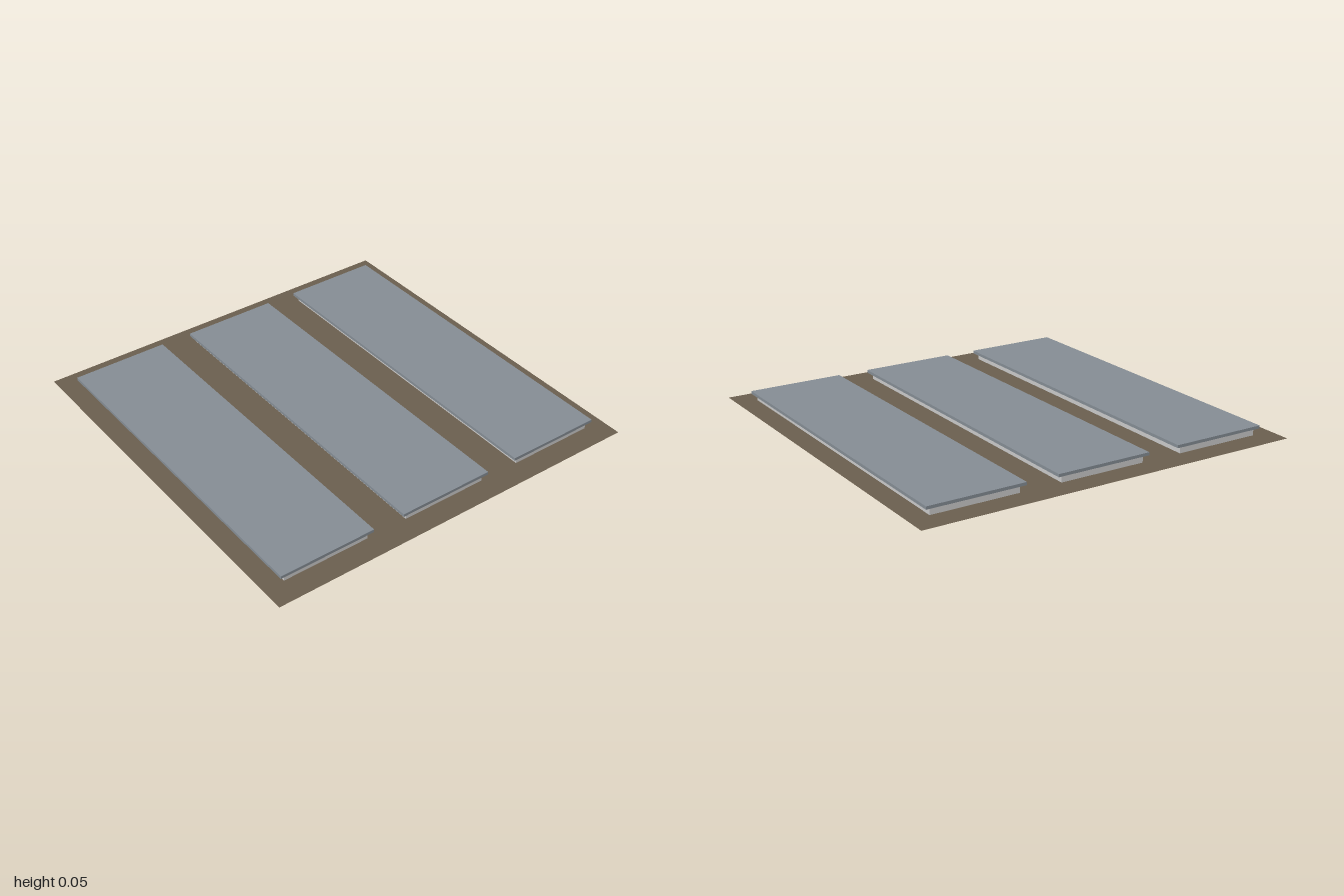
import * as THREE from 'three';

const mat = (name, color) => {
  const m = new THREE.MeshStandardMaterial({ color });
  m.name = name;
  return m;
};

export function createModel() {
  const soil = mat('soil brown', 0x6c604f);
  soil.side = THREE.DoubleSide;
  const wall = mat('wall grey', 0xcccccc);
  const roof = mat('roof slate', 0x868e96);

  const W = 0.45, D = 1.76, H = 0.035; // hall footprint and wall height
  const roofW = 0.5, roofD = 1.79, roofH = 0.015;
  const centres = [-0.667, 0, 0.667];

  const rect = (C, cx, w, d) => {
    const [x, y] = [w / 2, d / 2];
    return new C([[-x, -y], [x, -y], [x, y], [-x, y]].map(([a, b]) => new THREE.Vector2(cx + a, b)));
  };

  const model = new THREE.Group();
  model.name = 'threeHalls';

  const add = (parent, name, geometry, material, x, y) => {
    const mesh = new THREE.Mesh(geometry, material);
    mesh.name = name;
    mesh.position.set(x, y, 0);
    parent.add(mesh);
  };

  // Flat ground sheet, open beneath each hall so the floors show
  const sheet = rect(THREE.Shape, 0, 2, 2);
  for (const x of centres) sheet.holes.push(rect(THREE.Path, x, W, D));
  add(model, 'ground', new THREE.ShapeGeometry(sheet).rotateX(-Math.PI / 2), soil, 0, 0);

  // Three long low halls with overhanging flat roofs
  for (const x of centres) {
    const hall = new THREE.Group();
    hall.name = 'hall';
    add(hall, 'walls', new THREE.BoxGeometry(W, H, D), wall, x, H / 2);
    add(hall, 'roof', new THREE.BoxGeometry(roofW, roofH, roofD), roof, x, H + roofH / 2);
    model.add(hall);
  }
  return model;
}
